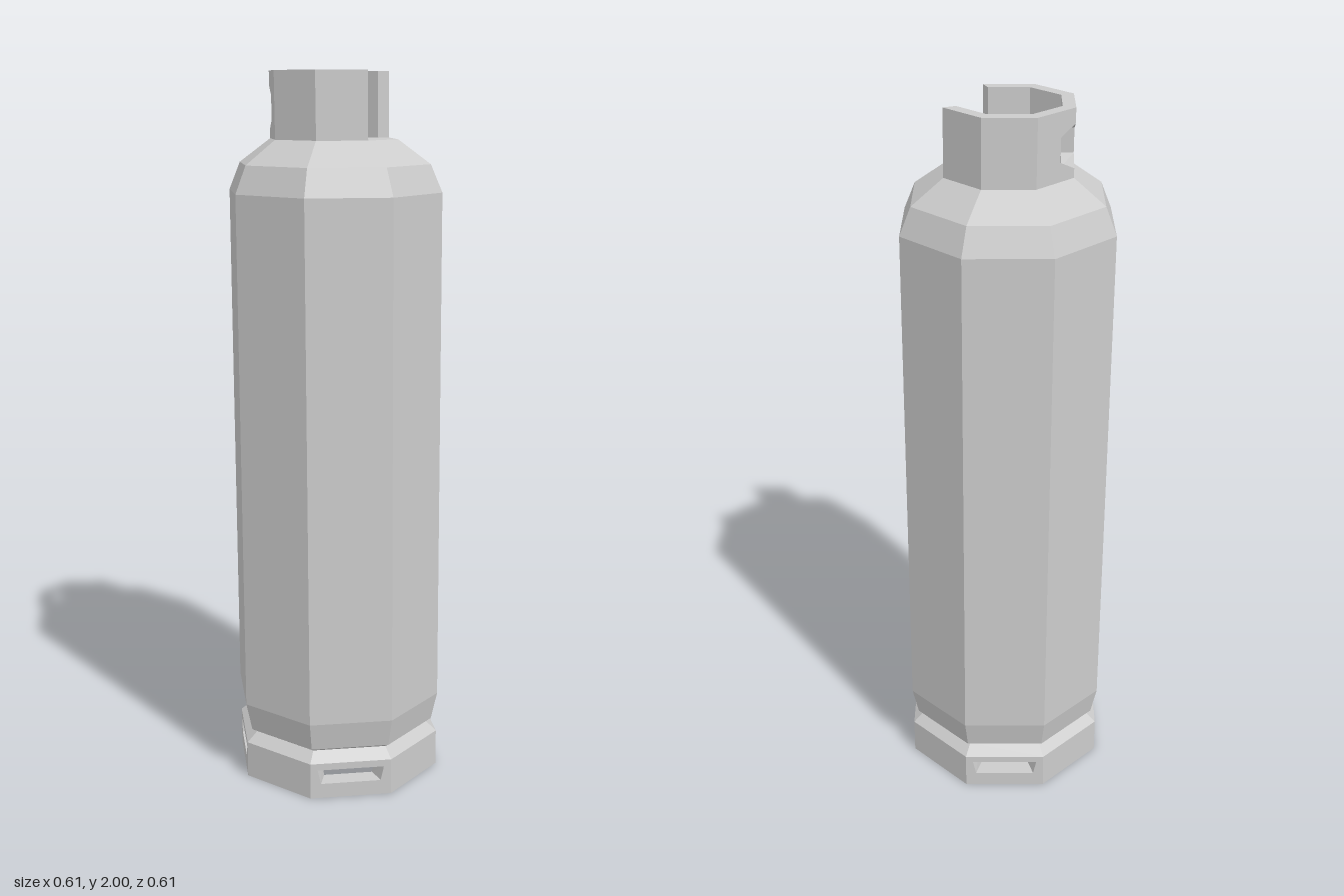
import * as THREE from 'three';

const material = new THREE.MeshStandardMaterial({ color: 0xcccccc, flatShading: true });
const SIDES = 8;
const STEP = (Math.PI * 2) / SIDES;

function addMesh(parent, name, geometry) {
  const mesh = new THREE.Mesh(geometry, material);
  mesh.name = name;
  parent.add(mesh);
  return mesh;
}

function polygon(points, Type = THREE.Shape) {
  return new Type(points.map(([x, y]) => new THREE.Vector2(x, y)));
}

// Move every vertex of a geometry by a rule
function warp(geometry, rule) {
  const pos = geometry.attributes.position;
  const v = new THREE.Vector3();
  for (let i = 0; i < pos.count; i++) {
    rule(v.fromBufferAttribute(pos, i));
    pos.setXYZ(i, v.x, v.y, v.z);
  }
  geometry.computeVertexNormals();
  return geometry;
}

// The tank leans very slightly as it rises
function lean(v) {
  const t = v.y / 1.82;
  v.x -= 0.009 * t * t;
  v.z += 0.007 * t;
}

// Wall panel between octagon corners k and k + 1.
// The shape is drawn as (fraction along the side, height), then mitred to the corners.
function wallPanel(shape, k, inner, outer) {
  const geometry = new THREE.ExtrudeGeometry(shape, { depth: 1, bevelEnabled: false });
  const a = k * STEP, b = (k + 1) * STEP;
  return warp(geometry, (v) => {
    const u = v.x;
    const r = THREE.MathUtils.lerp(inner, outer, v.z);
    v.x = r * THREE.MathUtils.lerp(Math.sin(a), Math.sin(b), u);
    v.z = r * THREE.MathUtils.lerp(Math.cos(a), Math.cos(b), u);
    lean(v);
  });
}

export function createModel() {
  const model = new THREE.Group();
  model.name = 'gasCylinder';

  // Tank body, from the foot shoulder up to the flat top
  const profile = [
    [0, 0.105], [0.302, 0.105], [0.27, 0.133], [0.286, 0.143], [0.304, 0.225],
    [0.302, 1.68], [0.27, 1.755], [0.18, 1.82], [0, 1.82],
  ].map(([r, y]) => new THREE.Vector2(r, y));
  addMesh(model, 'tankBody', warp(new THREE.LatheGeometry(profile, SIDES), lean));

  // Foot ring with a drain slot in every other side
  const foot = new THREE.Group();
  foot.name = 'footRing';
  model.add(foot);
  for (let k = 0; k < SIDES; k++) {
    const side = polygon([[0, 0], [1, 0], [1, 0.105], [0, 0.105]]);
    if (k % 2 === 0) {
      side.holes.push(polygon([[0.13, 0.043], [0.09, 0.085], [0.91, 0.085], [0.87, 0.043]], THREE.Path));
    }
    addMesh(foot, 'footPanel', wallPanel(side, k, 0.245, 0.302));
  }

  // Collar guard: six sides, open toward +x, with a hand hole around the corner at -x
  const collar = new THREE.Group();
  collar.name = 'collarGuard';
  model.add(collar);
  const low = 1.815, high = 2;
  const notch = [[1, 1.845], [0.62, 1.87], [0.62, 1.935], [1, 1.96]];
  const notched = [[0, low], [1, low], ...notch, [1, high], [0, high]];
  for (let k = 3; k < 9; k++) {
    let points = [[0, low], [1, low], [1, high], [0, high]];
    if (k === 5) points = notched;
    if (k === 6) points = notched.map(([u, y]) => [1 - u, y]).reverse();
    addMesh(collar, 'collarPanel', wallPanel(polygon(points), k, 0.144, 0.18));
  }

  // Valve: base, stem and three-lobed hand wheel
  const valve = new THREE.Group();
  valve.name = 'valve';
  valve.position.set(-0.004, 0, 0.005);
  model.add(valve);
  addMesh(valve, 'valveBase', new THREE.CylinderGeometry(0.042, 0.046, 0.016, 6)).position.y = 1.827;
  addMesh(valve, 'valveStem', new THREE.CylinderGeometry(0.013, 0.013, 0.08, 6)).position.y = 1.86;

  const lobes = [];
  for (let i = 0; i < 3; i++) {
    const a = 1.83 - (i * Math.PI * 2) / 3;
    for (const [offset, r] of [[0.33, 0.055], [-0.33, 0.055], [-Math.PI / 3, 0.025]]) {
      lobes.push([r * Math.cos(a + offset), r * Math.sin(a + offset)]);
    }
  }
  const wheel = new THREE.ExtrudeGeometry(polygon(lobes), { depth: 0.03, bevelEnabled: false });
  wheel.rotateX(-Math.PI / 2);
  addMesh(valve, 'handWheel', wheel).position.y = 1.893;

  return model;
}
